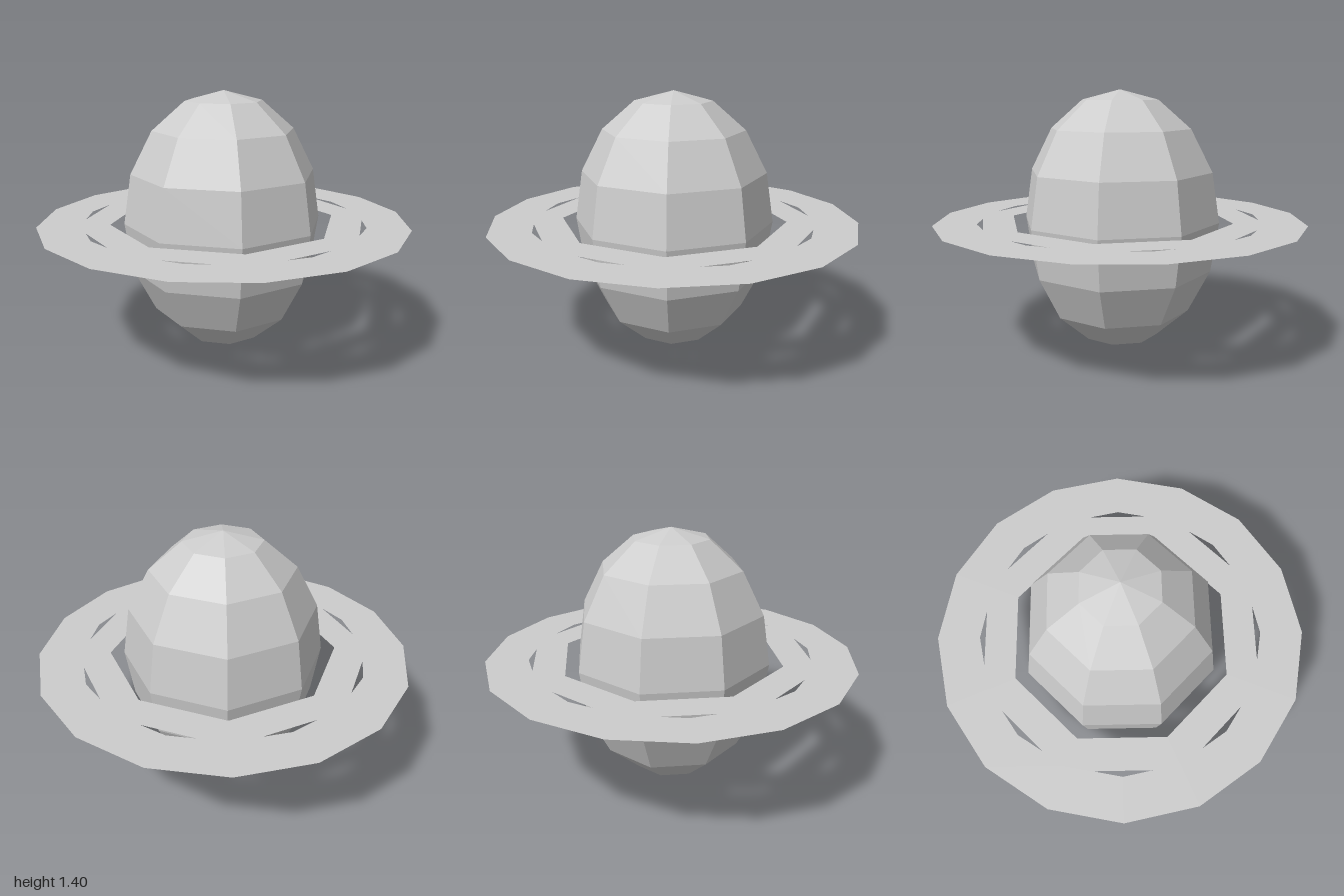
import * as THREE from 'three';

export function createModel() {
  const model = new THREE.Group();
  model.name = 'ringedPlanet';

  const gray = new THREE.MeshStandardMaterial({ color: 0xcccccc, flatShading: true });
  gray.name = 'planetGray';
  const ringGray = new THREE.MeshStandardMaterial({ color: 0xcccccc, flatShading: true, side: THREE.DoubleSide });
  ringGray.name = 'ringGray';

  const centerY = 0.702;

  // Faceted planet, stretched upward
  const planet = new THREE.Mesh(new THREE.SphereGeometry(0.54, 8, 8), gray);
  planet.name = 'planet';
  planet.scale.y = centerY / 0.54;
  planet.position.y = centerY;
  model.add(planet);

  // Flat rings: the coarse inner one overlaps the finer outer one, leaving thin slits
  const addRing = (name, inner, outer, sides, y) => {
    const geometry = new THREE.RingGeometry(inner, outer, sides, 1);
    geometry.rotateX(-Math.PI / 2);
    const ring = new THREE.Mesh(geometry, ringGray);
    ring.name = name;
    ring.position.y = y;
    model.add(ring);
  };
  addRing('innerRing', 0.615, 0.8, 8, centerY - 0.001);
  addRing('outerRing', 0.77, 1, 16, centerY + 0.001);

  return model;
}
